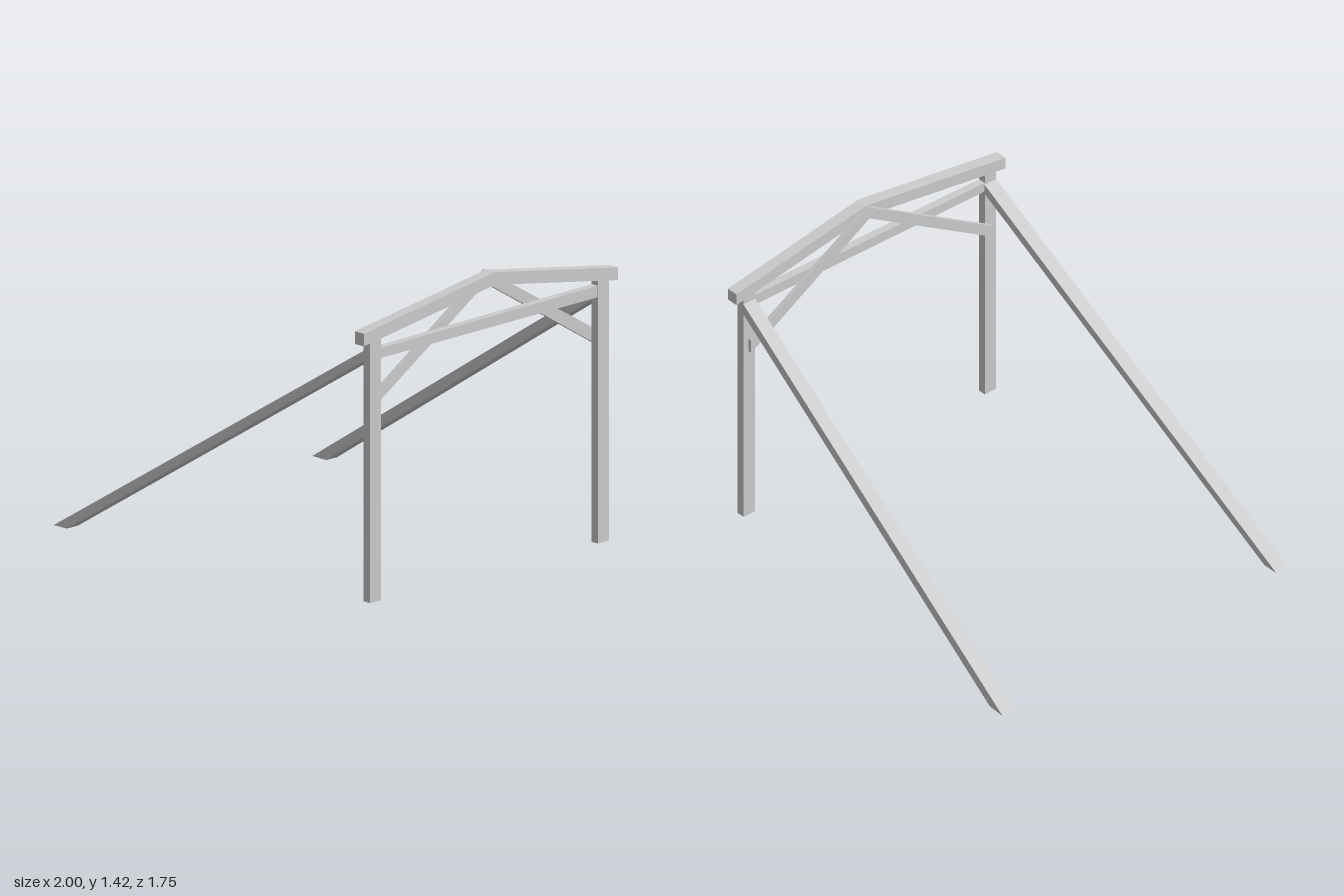
import * as THREE from 'three';

const material = new THREE.MeshStandardMaterial({ color: 0xcccccc, flatShading: true });

// Four-sided timber between two cut ends; each end has a lower and an upper
// corner, and `width` is the offset across to the opposite pair of corners.
function timber(name, start, end, width) {
  const geometry = new THREE.BoxGeometry(1, 1, 1);
  const pos = geometry.attributes.position;
  const across = new THREE.Vector3(...width);
  const v = new THREE.Vector3();
  for (let i = 0; i < pos.count; i++) {
    const cut = pos.getX(i) < 0 ? start : end;
    v.set(...(pos.getY(i) < 0 ? cut.low : cut.high));
    if (pos.getZ(i) > 0) v.add(across);
    pos.setXYZ(i, v.x, v.y, v.z);
  }
  geometry.computeVertexNormals();
  const mesh = new THREE.Mesh(geometry, material);
  mesh.name = name;
  return mesh;
}

// Upright cut in a timber that runs along z
const cut = (x, z, low, high) => ({ low: [x, low, z], high: [x, high, z] });

export function createModel() {
  const model = new THREE.Group();
  model.name = 'timberFrame';

  // Upright posts
  for (const [name, z] of [['frontPost', 0.731], ['backPost', -0.728]]) {
    const post = new THREE.Mesh(new THREE.BoxGeometry(0.042, 1.25, 0.069), material);
    post.name = name;
    post.position.set(0.968, 0.625, z);
    model.add(post);
  }

  // Cranked top beam, two halves meeting at the peak
  const peak = cut(0.937, -0.027, 1.36, 1.42);
  model.add(
    timber('frontTopBeam', cut(0.937, 0.813, 1.23, 1.29), peak, [0.06, 0, 0]),
    timber('backTopBeam', peak, cut(0.937, -0.815, 1.23, 1.29), [0.06, 0, 0])
  );

  // Tie bar between the posts, rising slightly towards the back
  model.add(timber('tieBar', cut(0.947, 0.70, 1.15, 1.197), cut(0.947, -0.695, 1.17, 1.225), [0.04, 0, 0]));

  // Diagonal braces on the inner face, from the posts up to the peak
  const braceTop = cut(0.917, -0.027, 1.357, 1.42);
  model.add(
    timber('frontBrace', cut(0.926, 0.735, 0.885, 0.945), braceTop, [0.02, 0, 0]),
    timber('backBrace', braceTop, cut(0.926, -0.735, 0.928, 0.997), [0.02, 0, 0])
  );

  // Long sloping rafters: level cut on the ground, upright cut at the post
  model.add(
    timber('frontRafter',
      { low: [-0.895, 0, 0.797], high: [-0.98, 0, 0.797] },
      { low: [0.945, 1.14, 0.693], high: [0.945, 1.19, 0.693] }, [0, 0, 0.07]),
    timber('backRafter',
      { low: [-0.905, 0, -0.873], high: [-1, 0, -0.878] },
      { low: [0.945, 1.148, -0.765], high: [0.945, 1.205, -0.765] }, [0, 0, 0.07])
  );

  return model;
}
